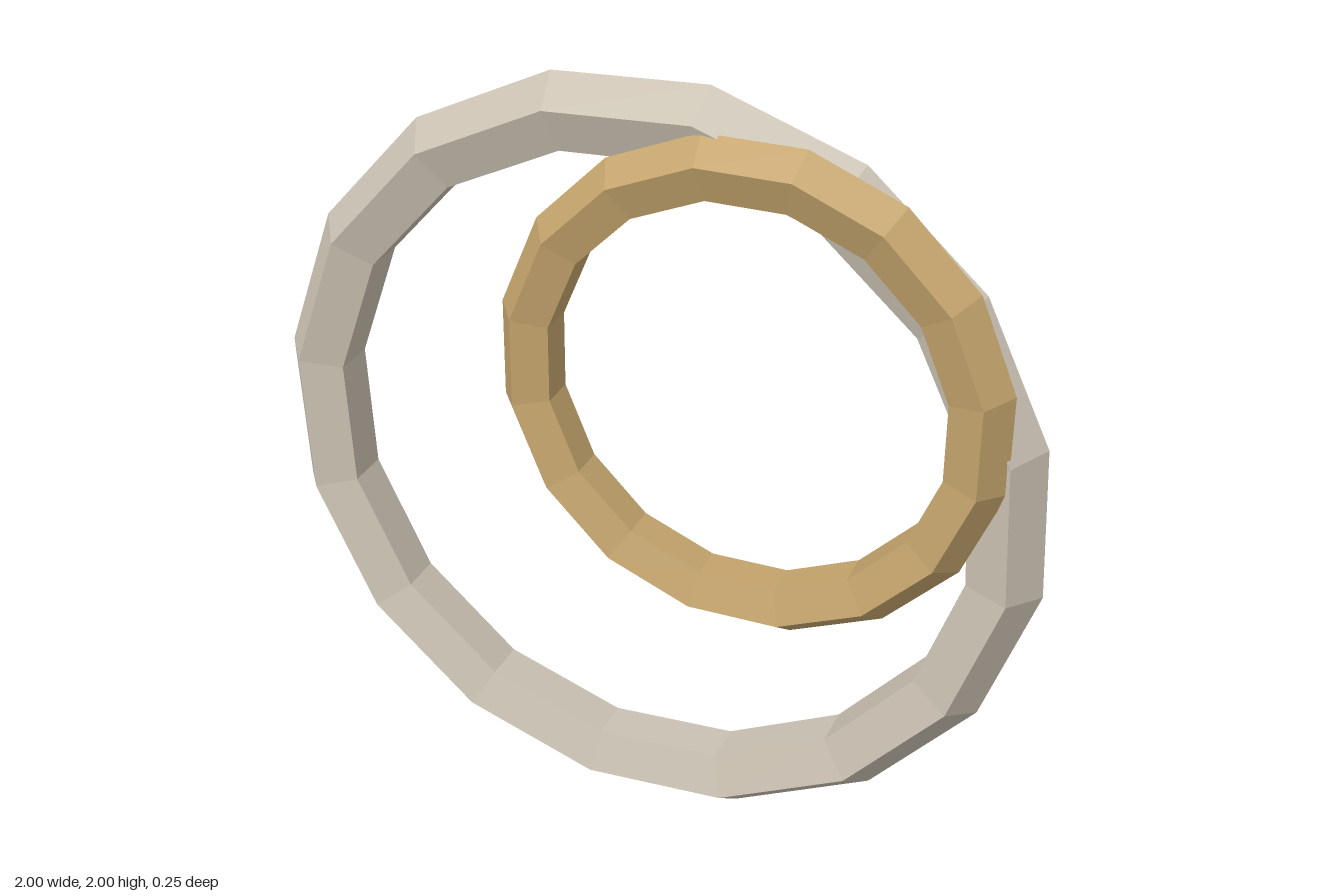
import * as THREE from 'three';

const makeMaterial = (name, color) => {
  const material = new THREE.MeshStandardMaterial({ color, flatShading: true });
  material.name = name;
  return material;
};

// Ring with 16 sides and a five-sided section, its ridge pointing outwards
function makeRing(name, radius, tube, turnDegrees, position, material) {
  const ring = new THREE.Mesh(new THREE.TorusGeometry(radius, tube, 5, 16), material);
  ring.name = name;
  ring.rotation.z = THREE.MathUtils.degToRad(turnDegrees);
  ring.position.set(...position);
  return ring;
}

export function createModel() {
  const model = new THREE.Group();
  model.name = 'interlockedRings';

  const silver = makeMaterial('warm silver', 0xc9c0b1);
  const gold = makeMaterial('gold', 0xc3a36c);

  // Large ring behind, small ring set into its upper left edge
  model.add(
    makeRing('largeRing', 0.913, 0.097, -8.2, [0, 1, -0.033], silver),
    makeRing('smallRing', 0.564, 0.079, 11.25, [0.28, 1.288, 0.05], gold)
  );
  return model;
}
